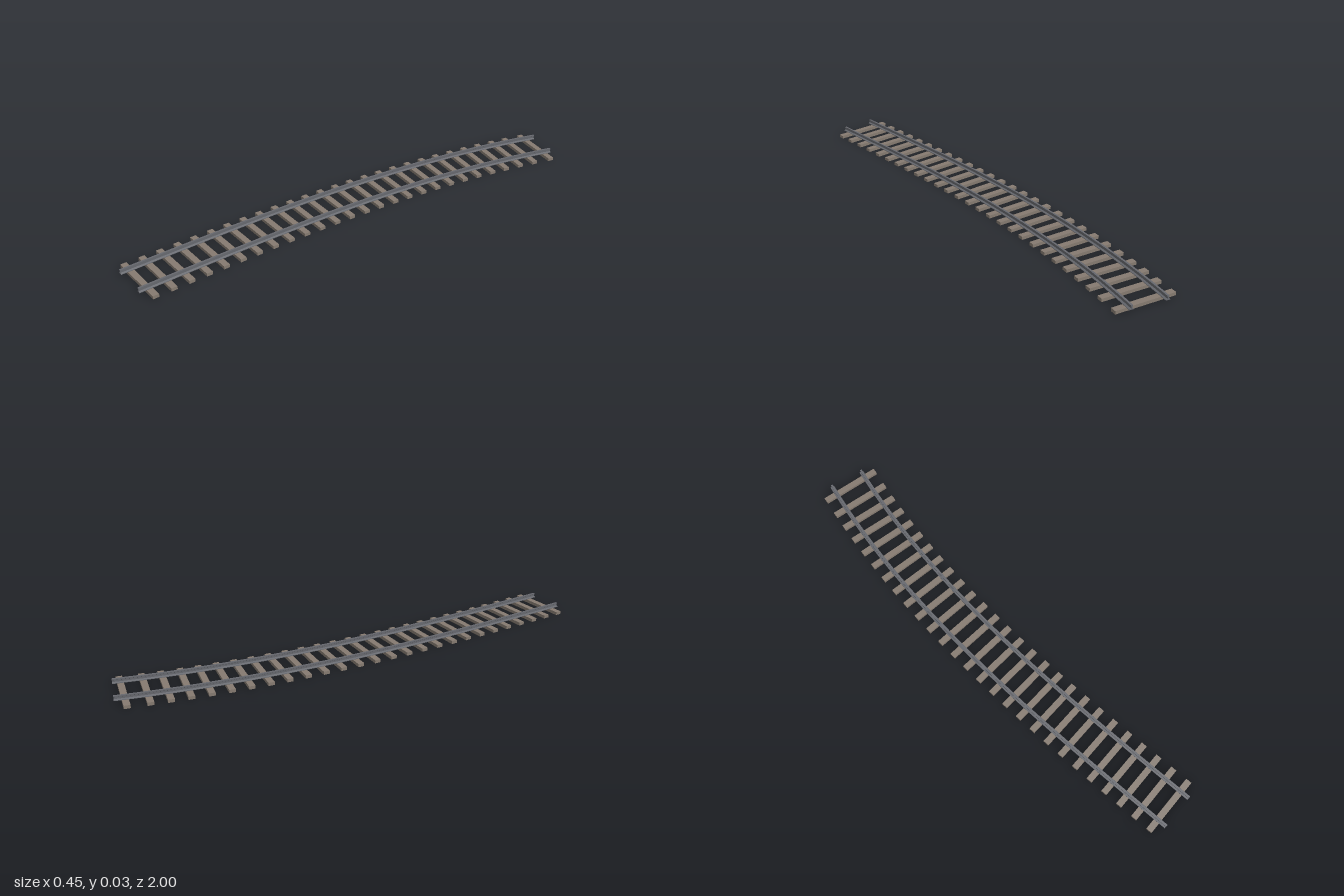
import * as THREE from 'three';

const GAUGE = 0.144, LENGTH = 1.978, START_X = -0.0995, BEND = 0.0273;
const SLEEPER_H = 0.013;

// Centre line: an easement curve that tightens with the distance s from the front end
function track(s) {
  const slope = 3 * BEND * s * s;
  return { x: START_X + BEND * s ** 3, z: 1 - s, angle: Math.atan(slope) };
}

// Half of the I-shaped rail section, from foot to head: [half width, height]
const half = [[0.009, 0], [0.009, 0.002], [0.002, 0.005], [0.002, 0.012], [0.0042, 0.0135], [0.0042, 0.018]];
const section = [...half, ...half.map(([u, v]) => [-u, v]).reverse()];

// Sweep the rail section along the track at a sideways offset
function railGeometry(offset, steps = 48) {
  const pos = [], index = [], n = section.length;
  for (let i = 0; i <= steps; i++) {
    const p = track((LENGTH * i) / steps);
    for (const [u, v] of section) {
      const d = offset + u;
      pos.push(p.x + d * Math.cos(p.angle), SLEEPER_H + v, p.z + d * Math.sin(p.angle));
    }
  }
  for (let i = 0; i < steps; i++) {
    for (let j = 0; j < n; j++) {
      const a = i * n + j, b = i * n + ((j + 1) % n);
      index.push(a, a + n, b, b, a + n, b + n);
    }
  }
  // End caps
  const caps = THREE.ShapeUtils.triangulateShape(section.map(([u, v]) => new THREE.Vector2(u, v)), []);
  const last = steps * n;
  for (const [a, b, c] of caps) index.push(a, b, c, last + a, last + c, last + b);

  const indexed = new THREE.BufferGeometry();
  indexed.setAttribute('position', new THREE.Float32BufferAttribute(pos, 3));
  indexed.setIndex(index);
  const geometry = indexed.toNonIndexed();
  geometry.computeVertexNormals();
  return geometry;
}

export function createModel() {
  const model = new THREE.Group();
  model.name = 'curvedRailwayTrack';
  const wood = new THREE.MeshStandardMaterial({ color: 0x857a70 });
  const steel = new THREE.MeshStandardMaterial({ color: 0x66686e });

  // Rails
  for (const [name, side] of [['leftRail', 1], ['rightRail', -1]]) {
    const rail = new THREE.Mesh(railGeometry((side * GAUGE) / 2), steel);
    rail.name = name;
    model.add(rail);
  }

  // Sleepers, evenly spaced along the curve, the last one set near the rail ends
  const sleepers = new THREE.Group();
  sleepers.name = 'sleepers';
  const box = new THREE.BoxGeometry(0.254, SLEEPER_H, 0.025);
  const count = 27, spacing = 0.0735;
  let s = 0.04;
  for (let i = 0; i < count; i++) {
    const p = track(s);
    const sleeper = new THREE.Mesh(box, wood);
    sleeper.name = 'sleeper' + (i + 1);
    sleeper.position.set(p.x, SLEEPER_H / 2, p.z);
    sleeper.rotation.y = -Math.min(p.angle, 0.24);
    sleepers.add(sleeper);
    s += (spacing + (i === count - 2 ? 0.01 : 0)) * Math.cos(p.angle);
  }
  model.add(sleepers);
  return model;
}
